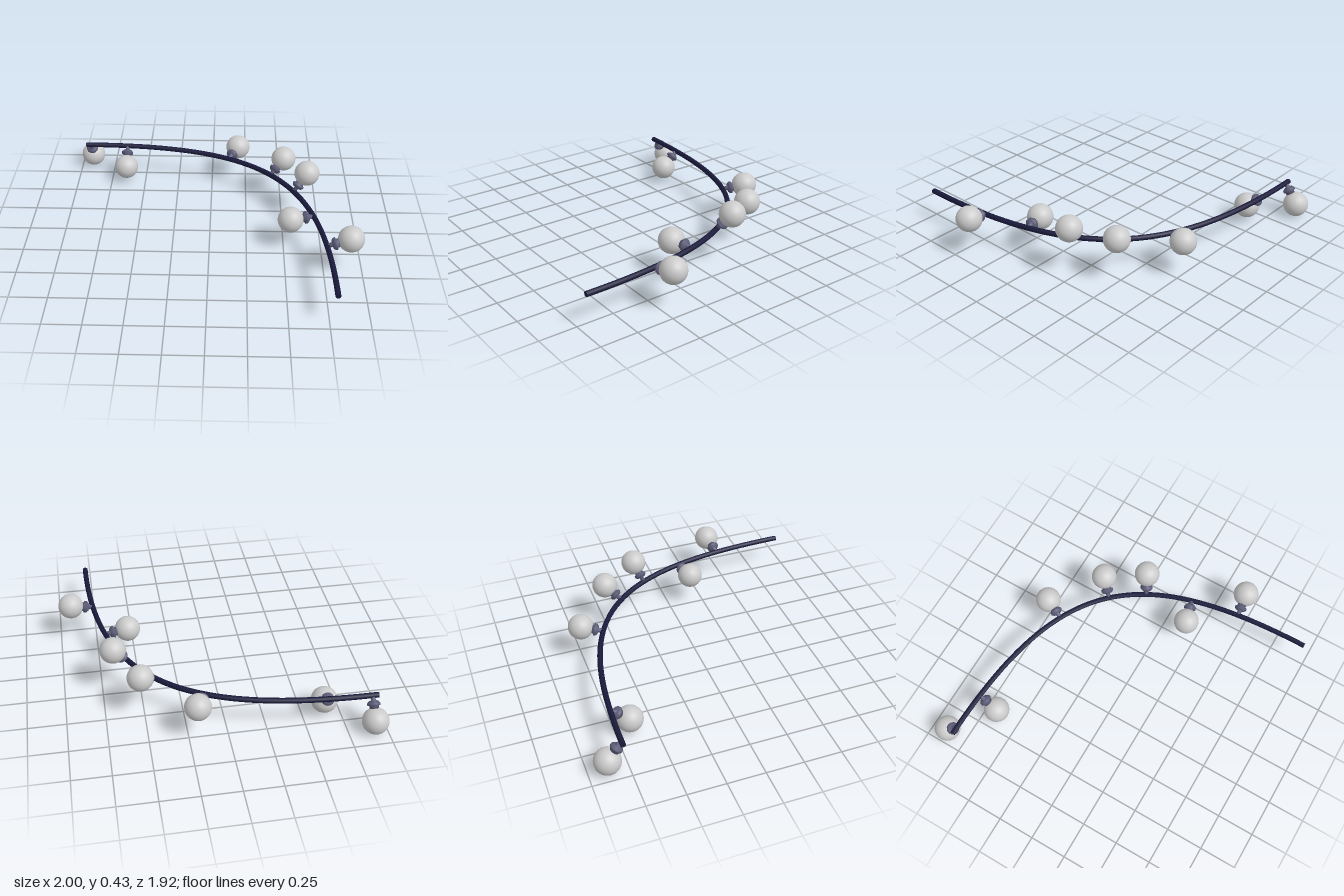
import * as THREE from 'three';

const wireMat = new THREE.MeshStandardMaterial({ color: 0x1a1a3c });
const socketMat = new THREE.MeshStandardMaterial({ color: 0x5c5c78 });
const bulbMat = new THREE.MeshStandardMaterial({ color: 0xcccccc });

const Y = 0.222;
const WIRE_R = 0.018;
const BULB_R = 0.086;

// Bulb centres along the string
const BULBS = [
  [-0.915, 0.09, -0.878], [-0.64, 0.115, -0.655], [0.19, 0.245, -0.742],
  [0.515, 0.306, -0.48], [0.665, 0.345, -0.222], [0.54, 0.222, 0.165],
  [0.912, 0.264, 0.433],
];

// Socket profile: thin stem, flared collar, tapered seat inside the bulb
const SOCKET = [[0, 0], [0.015, 0], [0.015, 0.034], [0.03, 0.036], [0.042, 0.05],
  [0.042, 0.062], [0.03, 0.066], [0.03, 0.085], [0, 0.085]];

function mesh(name, geometry, material, parent) {
  const m = new THREE.Mesh(geometry, material);
  m.name = name;
  parent.add(m);
  return m;
}

function nearestPoint(points, target) {
  return points.reduce((a, b) =>
    (b.distanceToSquared(target) < a.distanceToSquared(target) ? b : a));
}

export function createModel() {
  const group = new THREE.Group();
  group.name = 'lightString';

  // Curved wire
  const path = new THREE.CubicBezierCurve3(
    new THREE.Vector3(-0.95, Y, -0.785), new THREE.Vector3(0.354, Y, -0.785),
    new THREE.Vector3(0.785, Y, -0.354), new THREE.Vector3(0.785, Y, 0.955));
  mesh('wire', new THREE.TubeGeometry(path, 48, WIRE_R, 8), wireMat, group);

  // Flat caps closing both wire ends
  for (const t of [0, 1]) {
    const cap = mesh('wireEnd', new THREE.CircleGeometry(WIRE_R, 8), wireMat, group);
    const outward = path.getTangent(t).multiplyScalar(t ? 1 : -1);
    cap.position.copy(path.getPoint(t));
    cap.quaternion.setFromUnitVectors(new THREE.Vector3(0, 0, 1), outward);
  }

  // Lights, each pointing away from the closest spot on the wire
  const samples = path.getPoints(400);
  const socketGeo = new THREE.LatheGeometry(
    SOCKET.map(([r, h]) => new THREE.Vector2(r, h)), 16);
  const bulbGeo = new THREE.SphereGeometry(BULB_R, 32, 20);
  for (const centre of BULBS) {
    const target = new THREE.Vector3(...centre);
    const base = nearestPoint(samples, target);
    const offset = target.clone().sub(base);
    const light = new THREE.Group();
    light.name = 'light';
    light.position.copy(base);
    light.quaternion.setFromUnitVectors(
      new THREE.Vector3(0, 1, 0), offset.clone().normalize());
    mesh('socket', socketGeo, socketMat, light);
    mesh('bulb', bulbGeo, bulbMat, light).position.y = offset.length();
    group.add(light);
  }
  return group;
}
